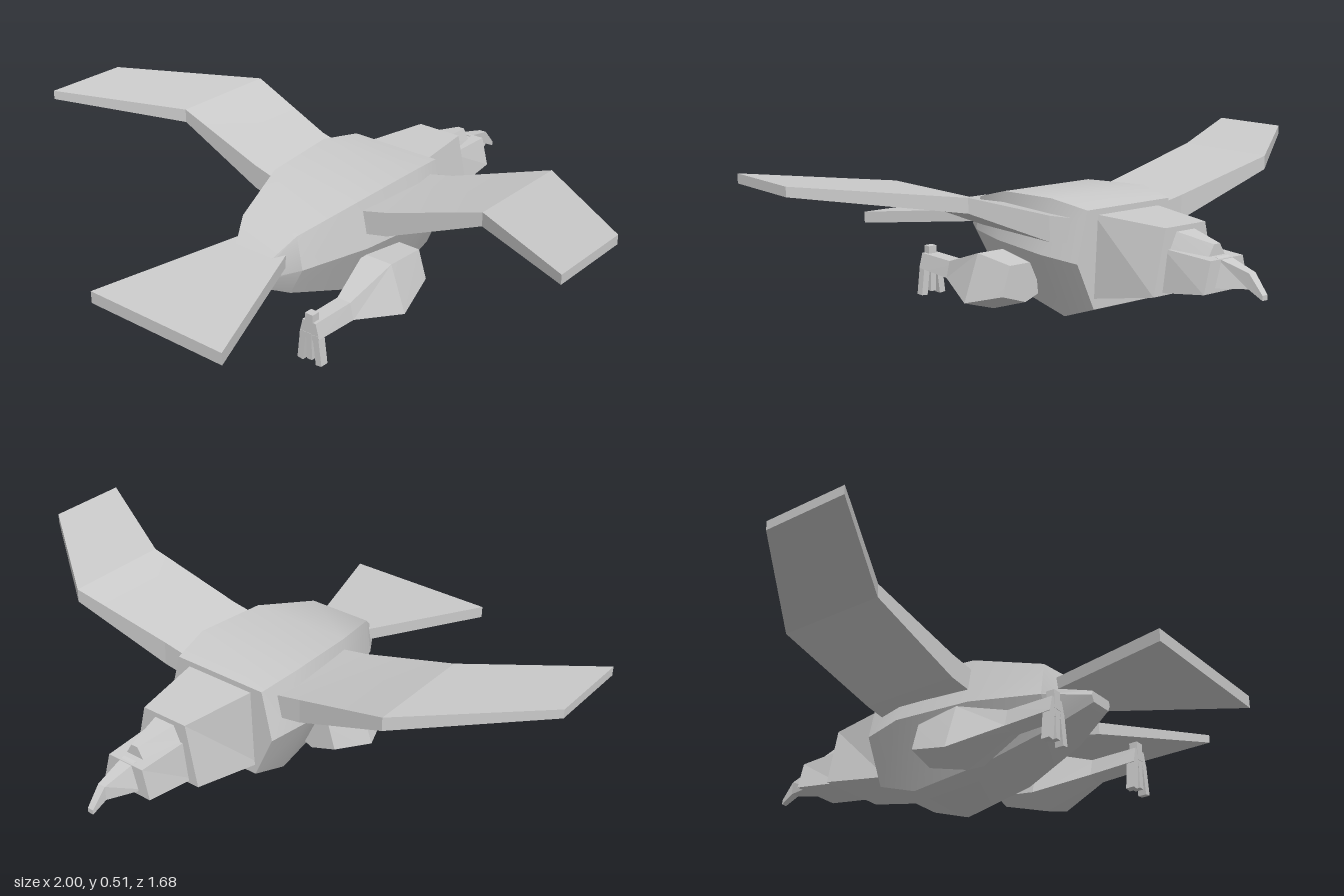
import * as THREE from 'three';
import { toCreasedNormals } from 'three/addons/utils/BufferGeometryUtils.js';

const material = new THREE.MeshStandardMaterial({ color: 0xcccccc });

// Skin a run of equal-sized cross-sections and close both ends.
function loft(name, rings, crease = 0.1) {
  const n = rings[0].length;
  const tris = [];
  for (let r = 0; r < rings.length - 1; r++) {
    for (let i = 0; i < n; i++) {
      const j = (i + 1) % n;
      const a = rings[r][i], b = rings[r][j], c = rings[r + 1][j], d = rings[r + 1][i];
      tris.push([a, b, c], [a, c, d]);
    }
  }
  const first = rings[0], last = rings[rings.length - 1];
  for (let i = 1; i < n - 1; i++) {
    tris.push([first[0], first[i + 1], first[i]], [last[0], last[i], last[i + 1]]);
  }
  // Turn the faces outward whichever way the rings run.
  const v = (p) => new THREE.Vector3(...p);
  const volume = tris.reduce((s, [a, b, c]) => s + v(a).dot(v(b).cross(v(c))), 0);
  if (volume < 0) tris.forEach((t) => t.reverse());
  const geometry = new THREE.BufferGeometry();
  geometry.setAttribute('position', new THREE.Float32BufferAttribute(tris.flat(2), 3));
  const mesh = new THREE.Mesh(toCreasedNormals(geometry, crease), material);
  mesh.name = name;
  return mesh;
}

// Symmetric cross-section at z from [halfWidth, y] pairs, top to bottom.
const symmetric = (z, ...half) => [
  ...half.map(([w, y]) => [w, y, z]),
  ...half.slice().reverse().map(([w, y]) => [-w, y, z]),
];

function createWing(side) {
  // x, leading z, trailing z, bottom y, top y
  const stations = [
    [0.11, -0.215, 0.13, 0.26, 0.335],
    [0.27, -0.22, 0.12, 0.29, 0.37],
    [0.6, -0.27, 0.1, 0.425, 0.47],
    [1, 0.035, 0.325, 0.475, 0.505],
  ];
  const rings = stations.map(([x, z0, z1, y0, y1]) => [
    [side * x, y0, z0], [side * x, y1, z0], [side * x, y1, z1], [side * x, y0, z1],
  ]);
  return loft(side > 0 ? 'leftWing' : 'rightWing', rings);
}

function createLeg(side) {
  const leg = new THREE.Group();
  leg.name = side > 0 ? 'leftLeg' : 'rightLeg';
  // Five-sided sections: top inner, top outer, lower outer, keel, lower inner
  const section = (z, ...pts) => pts.map(([x, y]) => [side * x, y, z]);
  leg.add(loft('thighAndShin', [
    section(-0.035, [0.18, 0.185], [0.28, 0.185], [0.31, 0.09], [0.22, 0.06], [0.17, 0.08]),
    section(0.12, [0.18, 0.2], [0.29, 0.2], [0.345, 0.045], [0.23, 0.01], [0.15, 0.05]),
    section(0.3, [0.225, 0.14], [0.275, 0.14], [0.288, 0.085], [0.25, 0.07], [0.212, 0.085]),
    section(0.46, [0.225, 0.14], [0.275, 0.14], [0.288, 0.09], [0.25, 0.075], [0.212, 0.09]),
  ]));
  // Toes: one up, three splayed down
  const toes = [[0, 0.135, 0.03, 0.06, 0], [-0.03, 0.05, 0.022, 0.1, -0.12],
    [0, 0.055, 0.02, 0.09, 0], [0.03, 0.05, 0.022, 0.1, 0.12]];
  for (const [dx, y, w, h, tilt] of toes) {
    const toe = new THREE.Mesh(new THREE.BoxGeometry(w, h, 0.028), material);
    toe.position.set(side * 0.25 + dx, y, 0.447);
    toe.rotation.z = tilt;
    toe.name = 'toe';
    leg.add(toe);
  }
  return leg;
}

export function createModel() {
  const bird = new THREE.Group();
  bird.name = 'bird';

  // Body: six-sided, softly shaded, tapering to the rump
  bird.add(loft('body', [
    symmetric(-0.27, [0.165, 0.38], [0.205, 0.22], [0.14, 0.07]),
    symmetric(-0.13, [0.19, 0.4], [0.235, 0.23], [0.14, 0.02]),
    symmetric(0.13, [0.175, 0.385], [0.205, 0.23], [0.12, 0.055]),
    symmetric(0.35, [0.11, 0.33], [0.13, 0.22], [0.08, 0.125]),
    symmetric(0.48, [0.045, 0.225], [0.05, 0.21], [0.04, 0.19]),
  ], 0.6));

  // Neck, head, crest and hooked beak
  bird.add(loft('neck', [
    symmetric(-0.25, [0.125, 0.362], [0.14, 0.1]),
    symmetric(-0.52, [0.08, 0.355], [0.125, 0.155]),
  ]));
  bird.add(loft('head', [
    symmetric(-0.5, [0.07, 0.29], [0.09, 0.16]),
    symmetric(-0.69, [0.065, 0.285], [0.09, 0.19]),
  ]));
  bird.add(loft('crest', [
    symmetric(-0.5, [0.04, 0.342], [0.07, 0.28]),
    symmetric(-0.65, [0.012, 0.32], [0.035, 0.28]),
  ]));
  bird.add(loft('beak', [
    symmetric(-0.67, [0.025, 0.288], [0.052, 0.2]),
    symmetric(-0.79, [0.013, 0.26], [0.015, 0.215]),
    symmetric(-0.84, [0.01, 0.205], [0.01, 0.19]),
  ]));

  // Flat fanned tail
  bird.add(loft('tail', [
    symmetric(0.38, [0.095, 0.278], [0.095, 0.238]),
    symmetric(0.84, [0.265, 0.222], [0.265, 0.182]),
  ]));

  for (const side of [1, -1]) bird.add(createWing(side));

  // The right leg is set slightly closer to the middle
  const rightLeg = createLeg(-1);
  rightLeg.position.x = 0.04;
  bird.add(createLeg(1), rightLeg);

  return bird;
}
